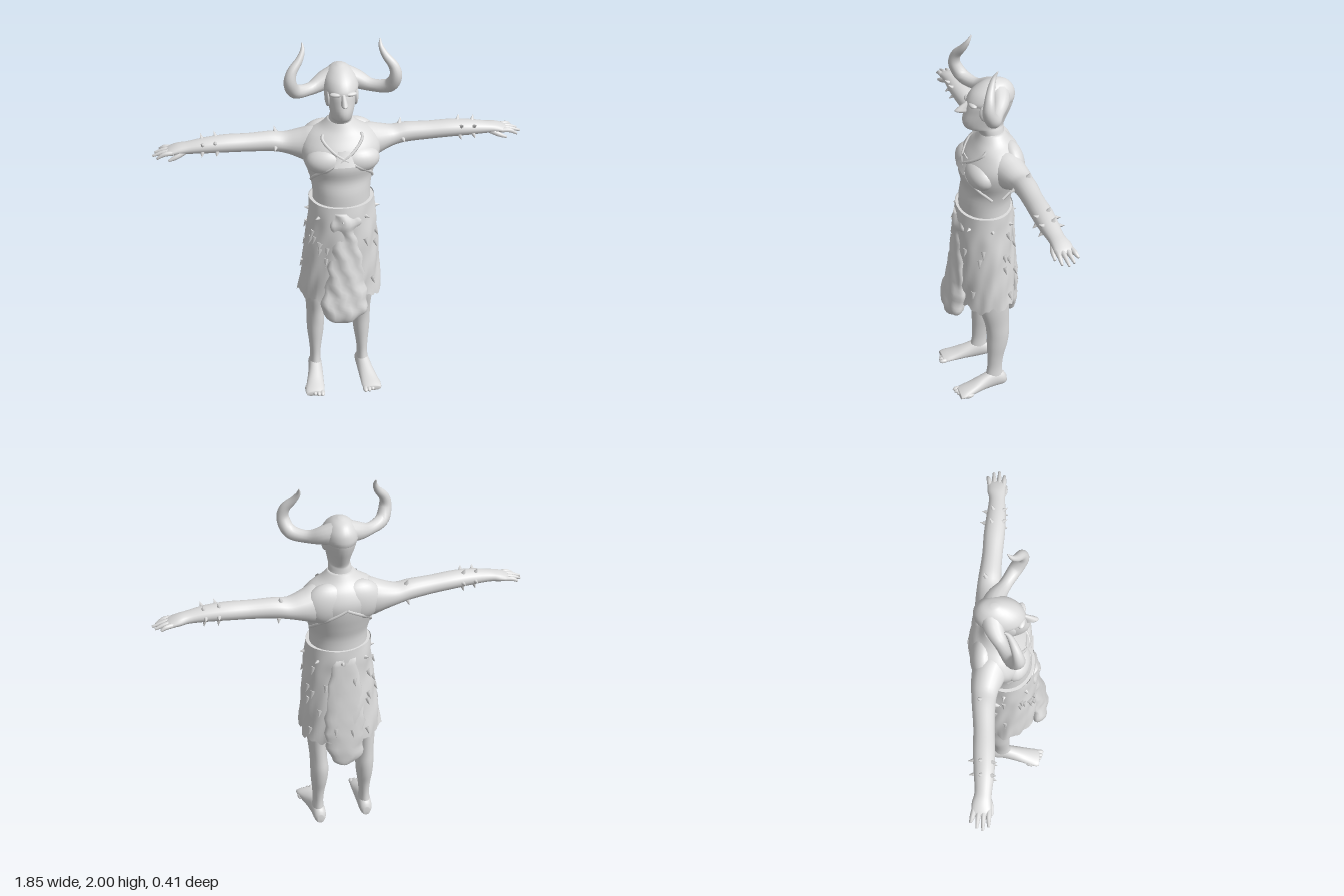
import * as THREE from 'three';

const skin = new THREE.MeshStandardMaterial({ color: 0xdcdcdc, side: THREE.DoubleSide });
skin.name = 'plain light grey';

let seed = 7;
const rand = () => (seed = (seed * 16807) % 2147483647) / 2147483647;
const V = (x, y, z) => new THREE.Vector3(x, y, z);

function add(group, name, geometry) {
  const m = new THREE.Mesh(geometry, skin);
  m.name = name;
  group.add(m);
  return m;
}

// Catmull-Rom value of every column of a section table at t in 0..1
function sample(rows, t) {
  const n = rows.length - 1, f = Math.min(t * n, n - 1e-9), i = Math.floor(f), u = f - i;
  const row = k => rows[Math.max(0, Math.min(n, k))];
  return rows[0].map((_, c) => {
    const [a, b, d, e] = [row(i - 1)[c], row(i)[c], row(i + 1)[c], row(i + 2)[c]];
    return b + 0.5 * u * (d - a + u * (2 * a - 5 * b + 4 * d - e + u * (3 * (b - d) + e - a)));
  });
}

// Skin through cross-sections; place(values, angle, t) gives each point
function loft(rows, place, radial = 20, sub = 4, caps = true) {
  const steps = (rows.length - 1) * sub, pts = [], idx = [];
  for (let j = 0; j <= steps; j++) {
    const v = sample(rows, j / steps);
    for (let i = 0; i < radial; i++) pts.push(place(v, (i / radial) * Math.PI * 2, j / steps));
  }
  for (let j = 0; j < steps; j++) for (let i = 0; i < radial; i++) {
    const k = (i + 1) % radial, a = j * radial + i, b = j * radial + k;
    idx.push(a, b, a + radial, b, b + radial, a + radial);
  }
  if (caps) for (const j of [0, steps]) {
    const c = V(0, 0, 0);
    for (let i = 0; i < radial; i++) c.addScaledVector(pts[j * radial + i], 1 / radial);
    pts.push(c);
    for (let i = 0; i < radial; i++) {
      const a = j * radial + i, b = j * radial + (i + 1) % radial;
      idx.push(...(j ? [a, b, pts.length - 1] : [b, a, pts.length - 1]));
    }
  }
  // turn all faces outward
  const mid = pts.reduce((s, p) => s.addScaledVector(p, 1 / pts.length), V(0, 0, 0));
  let vol = 0;
  for (let k = 0; k < idx.length; k += 3) {
    const [a, b, c] = [0, 1, 2].map(o => pts[idx[k + o]].clone().sub(mid));
    vol += a.dot(b.cross(c));
  }
  if (vol < 0) idx.reverse();
  const g = new THREE.BufferGeometry().setFromPoints(pts);
  g.setIndex(idx);
  g.computeVertexNormals();
  return g;
}

// Upright section [y, centre x, half width, front z, back z]
const upright = (s = 1, dx = 0) => ([y, cx, w, f, b], a) =>
  V(s * (cx + w * Math.cos(a)) + dx, y, (f + b) / 2 + (f - b) / 2 * Math.sin(a));

// Tapered round tube: rows are [x, y, z, radius]
function taper(rows, s, radial = 12, sub = 5) {
  const n = 200, curve = t => { const r = sample(rows, t); return V(s * r[0], r[1], r[2]); };
  return loft(rows, (v, a, t) => {
    const d = curve(Math.min(1, t + 1 / n)).sub(curve(Math.max(0, t - 1 / n))).normalize();
    const side = V(0, 0, 1).cross(d).normalize(), up = d.clone().cross(side);
    return V(s * v[0], v[1], v[2]).addScaledVector(side, v[3] * Math.cos(a)).addScaledVector(up, v[3] * Math.sin(a));
  }, radial, sub);
}

function ball(group, name, x, y, z, rx, ry, rz) {
  const m = add(group, name, new THREE.SphereGeometry(1, 24, 16));
  m.position.set(x, y, z);
  m.scale.set(rx, ry, rz);
  return m;
}

function spike(group, name, p, dir, r = 0.012, len = 0.04) {
  const m = add(group, name, new THREE.ConeGeometry(r, len, 6));
  m.quaternion.setFromUnitVectors(V(0, 1, 0), dir.normalize());
  m.position.copy(p).addScaledVector(dir, len * 0.3);
}

const torsoRows = [
  [1.08, 0, 0.15, 0.11, -0.15], [1.2, 0, 0.147, 0.108, -0.15], [1.28, 0, 0.162, 0.095, -0.17],
  [1.36, 0, 0.19, 0.108, -0.192], [1.43, 0, 0.2, 0.085, -0.2], [1.49, 0, 0.165, 0.045, -0.178],
  [1.53, 0, 0.1, 0.02, -0.145], [1.57, 0, 0.06, 0, -0.12]];
const skirtRows = [
  [1.15, 0, 0.166, 0.125, -0.16], [1.08, 0, 0.17, 0.135, -0.165], [1.0, 0, 0.178, 0.14, -0.162],
  [0.88, -0.003, 0.19, 0.145, -0.168], [0.72, -0.008, 0.204, 0.15, -0.178], [0.585, -0.012, 0.215, 0.15, -0.18]];

function skirtPoint(v, a, t) {
  const fold = 1 + t * (0.022 * Math.sin(7 * a + 2 * Math.sin(v[0] * 9)) + 0.022 * Math.sin(13 * a + v[0] * 17))
    + 0.015 * Math.sin(5 * a + v[0] * 30);
  const p = upright()([v[0], v[1], v[2] * fold, v[3], v[4]], a);
  p.z = -0.015 + (p.z + 0.015) * fold;
  p.y += t ** 4 * (0.012 * Math.sin(9 * a) + 0.008 * Math.sin(23 * a));
  return p;
}

function addArm(group, s) {
  const arm = new THREE.Group();
  arm.name = s > 0 ? 'leftArm' : 'rightArm';
  group.add(arm);
  // columns: x, centre y, half height, centre z, half depth
  const rows = [
    [0.06, 1.41, 0.1, -0.07, 0.09], [0.14, 1.41, 0.1, -0.085, 0.09], [0.2, 1.415, 0.076, -0.1, 0.078],
    [0.27, 1.42, 0.053, -0.112, 0.062], [0.34, 1.432, 0.05, -0.112, 0.055], [0.45, 1.437, 0.045, -0.105, 0.05],
    [0.56, 1.443, 0.043, -0.1, 0.052], [0.66, 1.443, 0.038, -0.095, 0.048], [0.75, 1.437, 0.029, -0.095, 0.04],
    [0.8, 1.432, 0.025, -0.1, 0.045], [0.84, 1.425, 0.017, -0.1, 0.045], [0.86, 1.421, 0.009, -0.1, 0.035]];
  add(arm, 'armSkin', loft(rows, ([x, cy, ry, cz, rz], a) => V(s * x, cy + ry * Math.sin(a), cz + rz * Math.cos(a))));
  // fingers and thumb
  [[0.89, 1.412, -0.148], [0.915, 1.409, -0.118], [0.925, 1.406, -0.09], [0.905, 1.402, -0.064]].forEach(([x, y, z], i) => {
    const z0 = -0.132 + i * 0.022;
    add(arm, 'finger', taper([[0.82, 1.426, z0, 0.012], [0.865, 1.424, (z + z0) / 2, 0.012], [x, y, z, 0.006]], s, 8, 4));
  });
  add(arm, 'thumb', taper([[0.77, 1.425, -0.075, 0.016], [0.81, 1.408, -0.058, 0.013], [0.85, 1.392, -0.052, 0.006]], s, 8, 4));
  // rings of small thorns, one on the upper arm and two on the forearm
  for (const [x, cy, ry, cz, rz, count] of [[0.32, 1.43, 0.051, -0.112, 0.058, 3],
    [0.61, 1.443, 0.041, -0.098, 0.05, 5], [0.675, 1.442, 0.036, -0.095, 0.046, 5]])
    for (let i = 0; i < count; i++) {
      const a = i / count * Math.PI * 2 + 1.9, d = V(s * 0.2, Math.sin(a), Math.cos(a));
      spike(arm, 'thorn', V(s * (x + 0.016 * (rand() - 0.5)), cy + ry * Math.sin(a), cz + rz * Math.cos(a)), d, 0.013, 0.034);
    }
}

function addLeg(group, s) {
  const dx = -0.012;
  add(group, s > 0 ? 'leftLeg' : 'rightLeg', loft([
    [0.85, 0.1, 0.075, 0.07, -0.12], [0.68, 0.12, 0.065, 0.06, -0.118], [0.55, 0.13, 0.052, 0.045, -0.115],
    [0.44, 0.129, 0.045, 0.015, -0.117], [0.36, 0.125, 0.048, 0.004, -0.12], [0.28, 0.126, 0.044, 0.002, -0.11],
    [0.2, 0.128, 0.034, 0, -0.09], [0.12, 0.13, 0.028, 0.002, -0.082], [0.04, 0.132, 0.034, 0.02, -0.09]], upright(s, dx)));
  // foot columns: z, centre x, half width, top
  add(group, 'foot', loft([
    [-0.106, 0.13, 0.018, 0.05], [-0.085, 0.13, 0.034, 0.08], [-0.03, 0.132, 0.037, 0.1], [0.03, 0.138, 0.041, 0.08],
    [0.1, 0.148, 0.048, 0.052], [0.15, 0.155, 0.052, 0.036], [0.175, 0.157, 0.046, 0.027]],
    ([z, cx, w, h], a) => V(s * (cx + w * Math.cos(a)) + dx, Math.max(0, h * (0.45 + 0.55 * Math.sin(a))), z)));
  for (let i = 0; i < 5; i++)
    ball(group, 'toe', s * (0.118 + i * 0.0195) + dx, 0.013, 0.172 - i * i * 0.0028, 0.014 - i * 0.0008, 0.013, 0.026);
}

export function createModel() {
  const model = new THREE.Group();
  model.name = 'hornedWarrior';

  // torso and chest harness
  add(model, 'torso', loft(torsoRows, upright(), 32));
  const onTorso = (y, a) => {
    const i = Math.max(0, torsoRows.findIndex(r => r[0] > y) - 1), [p, q] = [torsoRows[i], torsoRows[i + 1]];
    const u = (y - p[0]) / (q[0] - p[0]);
    return upright()(p.map((v, c) => v + (q[c] - v) * u), a);
  };
  for (const s of [1, -1]) {
    ball(model, 'chestMuscle', s * 0.07, 1.38, 0.025, 0.115, 0.075, 0.077);
    ball(model, 'shoulderBlade', s * 0.075, 1.42, -0.125, 0.12, 0.11, 0.066);
    for (const [side, yEnd, spread] of [[1, 1.26, 1.35], [1, 1.51, 0.8], [-1, 1.26, 1.35]]) {
      const path = [];
      for (let i = 0; i <= 6; i++) path.push(onTorso(1.41 + (yEnd - 1.41) * i / 6, side * (Math.PI / 2 - s * spread * i / 6)));
      add(model, 'harnessStrap', new THREE.TubeGeometry(new THREE.CatmullRomCurve3(path), 24, 0.008, 6));
    }
  }
  const plate = new THREE.CylinderGeometry(0.04, 0.075, 0.08, 4, 1).rotateY(Math.PI / 4).scale(1, 1, 0.2);
  const buckle = add(model, 'chestPlate', plate);
  buckle.position.set(0, 1.41, 0.088);
  buckle.rotation.x = -0.35;

  // head and face
  add(model, 'head', loft([
    [1.5, 0, 0.09, 0.01, -0.14], [1.55, 0, 0.064, 0, -0.122], [1.59, 0, 0.054, 0.025, -0.116], [1.61, 0, 0.052, 0.075, -0.118],
    [1.65, 0, 0.06, 0.092, -0.135], [1.7, 0, 0.073, 0.082, -0.155], [1.75, 0, 0.082, 0.068, -0.166],
    [1.8, 0, 0.07, 0.035, -0.158], [1.835, 0, 0.042, -0.015, -0.125], [1.845, 0, 0.01, -0.06, -0.085]], upright(), 28));
  add(model, 'nose', loft([[1.755, 0, 0.008, 0.07, 0.04], [1.725, 0, 0.014, 0.118, 0.05], [1.71, 0, 0.017, 0.13, 0.05],
    [1.695, 0, 0.01, 0.09, 0.05]], upright(), 12));

  // peaked helmet flowing into sweeping horns
  add(model, 'helmet', loft([
    [1.735, 0, 0.08, 0.07, -0.164], [1.76, 0, 0.087, 0.068, -0.17], [1.8, 0, 0.075, 0.042, -0.163],
    [1.835, 0, 0.045, -0.008, -0.133], [1.852, 0, 0.012, -0.055, -0.085]], upright(), 28));
  for (const s of [1, -1]) {
    ball(model, 'cheekGuard', s * 0.068, 1.715, -0.015, 0.014, 0.055, 0.045);
    ball(model, 'brow', s * 0.03, 1.748, 0.05, 0.035, 0.012, 0.02);
    add(model, s > 0 ? 'leftHorn' : 'rightHorn', taper([
      [0, 1.79, -0.085, 0.058], [0.075, 1.768, -0.07, 0.048], [0.15, 1.748, -0.03, 0.031], [0.225, 1.762, 0.015, 0.034],
      [0.252, 1.82, 0.046, 0.031], [0.243, 1.875, 0.042, 0.025], [0.205, 1.925, 0.02, 0.018],
      [0.186, 1.965, 0, 0.011], [0.186, 1.997, -0.018, 0.003]], s, 14));
    addArm(model, s);
    addLeg(model, s);
  }

  // ragged skirt, hanging flaps and belt
  add(model, 'skirt', loft(skirtRows, skirtPoint, 96, 6, false));
  add(model, 'skirtTop', loft([[1.12, 0, 0.16, 0.12, -0.155], [1.148, 0, 0.164, 0.123, -0.158]], upright(), 32));
  const ragged = (v, a) => {
    const p = upright()(v, a);
    p.z += 0.006 * Math.sin(p.x * 70 + v[0] * 25);
    p.x += 0.006 * Math.sin(v[0] * 60);
    return p;
  };
  add(model, 'frontFlap', loft([
    [1.12, 0, 0.055, 0.132, 0.08], [1.06, 0, 0.08, 0.15, 0.08], [1.0, 0, 0.06, 0.144, 0.08], [0.9, 0, 0.08, 0.154, 0.08],
    [0.72, 0, 0.1, 0.176, 0.09], [0.62, -0.005, 0.118, 0.193, 0.1], [0.55, -0.01, 0.118, 0.205, 0.105],
    [0.505, -0.01, 0.085, 0.2, 0.12], [0.48, -0.01, 0.03, 0.185, 0.14]], ragged, 24));
  add(model, 'backFlap', loft([
    [1.1, 0, 0.06, -0.12, -0.166], [0.9, 0, 0.09, -0.12, -0.174], [0.7, 0, 0.105, -0.12, -0.185], [0.56, -0.005, 0.1, -0.11, -0.19],
    [0.48, -0.01, 0.08, -0.125, -0.188], [0.445, -0.01, 0.05, -0.14, -0.18]], ragged, 24));
  for (let i = 0; i < 8; i++) {
    const a = (i + 0.1) / 8 * Math.PI * 2, p = skirtPoint(sample(skirtRows, 0.2), a, 0.2);
    spike(model, 'beltSpike', p, V(Math.cos(a), 0.1, Math.sin(a)), 0.013, 0.03);
  }
  for (let i = 0; i < 30; i++) {
    const a = rand() * Math.PI * 2, t = 0.3 + 0.65 * rand(), p = skirtPoint(sample(skirtRows, t), a, t);
    spike(model, 'furTuft', p, V(Math.cos(a), -2, Math.sin(a)), 0.014, 0.045);
  }
  return model;
}
